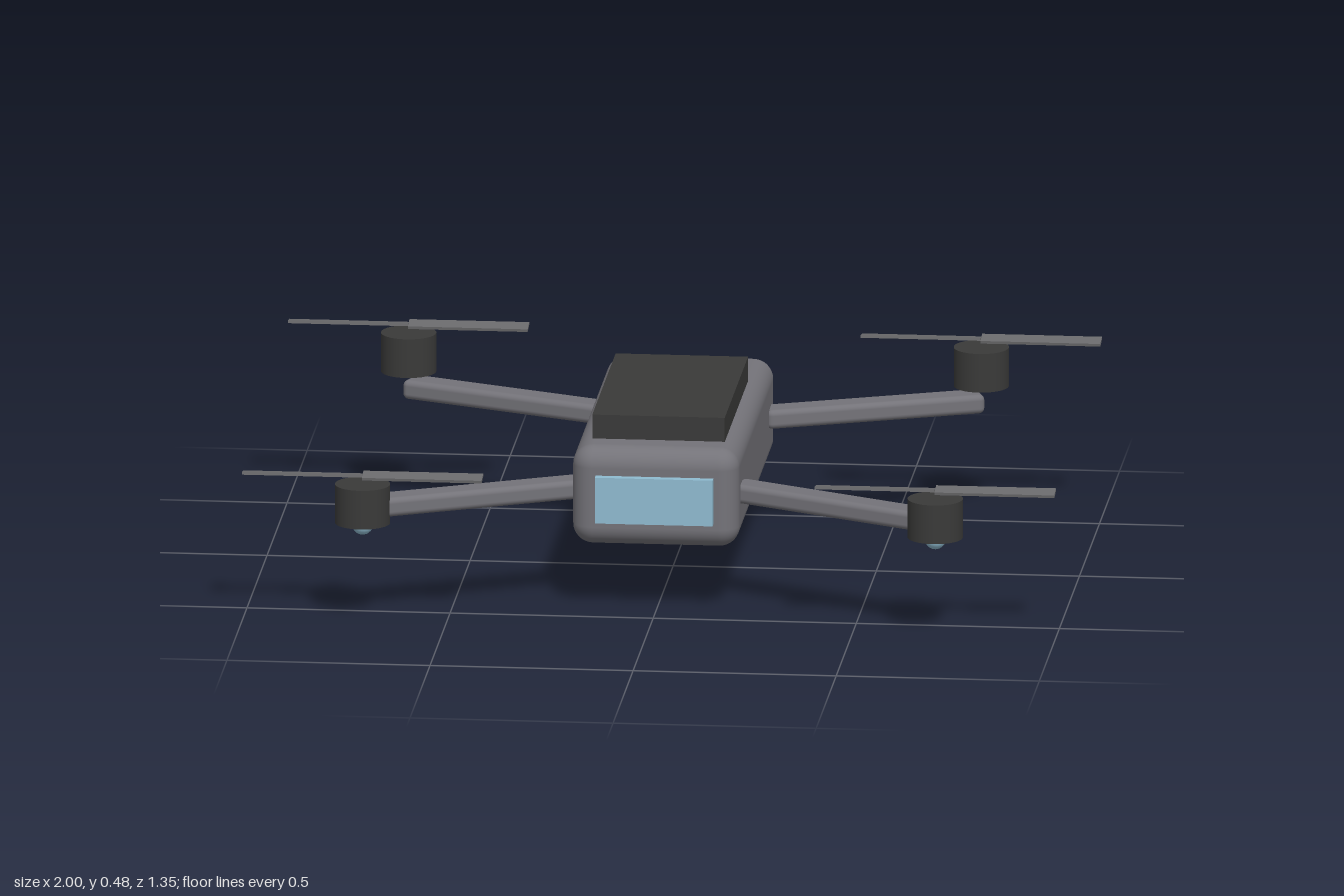
import * as THREE from 'three';
import { RoundedBoxGeometry } from 'three/addons/geometries/RoundedBoxGeometry.js';

export function createModel() {
  const model = new THREE.Group();
  model.name = 'quadcopter';

  const material = (name, color) => {
    const m = new THREE.MeshStandardMaterial({ color });
    m.name = name;
    return m;
  };
  const shellGrey = material('shell grey', 0x747379);
  const charcoal = material('charcoal', 0x3a3a39);
  const bladeGrey = material('blade grey', 0x6a6a6c);
  const lensBlue = material('lens navy', 0x1a2740);
  const glassBlue = material('pale blue', 0x8fbbd0);

  const add = (name, geometry, mat, x, y, z, parent = model) => {
    const mesh = new THREE.Mesh(geometry, mat);
    mesh.name = name;
    mesh.position.set(x, y, z);
    parent.add(mesh);
    return mesh;
  };

  // Fuselage, battery and front panel
  add('body', new RoundedBoxGeometry(0.41, 0.249, 0.933, 5, 0.05), shellGrey, 0, 0.292, 0);
  add('battery', new THREE.BoxGeometry(0.326, 0.08, 0.583), charcoal, 0, 0.437, 0.076);
  add('frontPanel', new THREE.BoxGeometry(0.29, 0.116, 0.04), glassBlue, 0, 0.291, 0.467);

  // Rear sensors
  for (const side of [-1, 1]) {
    add('rearSensor', new THREE.SphereGeometry(0.039, 24, 16), lensBlue, side * 0.098, 0.312, -0.467);
  }

  // Camera gimbal
  add('gimbalMount', new THREE.BoxGeometry(0.116, 0.097, 0.1), charcoal, 0, 0.152, -0.493);
  add('cameraHousing', new THREE.BoxGeometry(0.196, 0.148, 0.137), shellGrey, 0, 0.074, -0.569);
  const lens = add('cameraLens', new THREE.CylinderGeometry(0.048, 0.048, 0.06, 32), lensBlue, 0, 0.075, -0.644);
  lens.rotation.x = Math.PI / 2;

  // Arms, motors and propellers, front pair low and rear pair raised
  const corners = [
    { label: 'front', rootZ: 0.355, z: 0.604, motorY: 0.301, bladeY: 0.371 },
    { label: 'rear', rootZ: -0.338, z: -0.543, motorY: 0.38, bladeY: 0.45 },
  ];
  const motorX = 0.705, armRootX = 0.19;
  for (const c of corners) {
    for (const side of [-1, 1]) {
      const rotor = new THREE.Group();
      rotor.name = c.label + (side > 0 ? 'Left' : 'Right') + 'Rotor';
      model.add(rotor);

      const dx = motorX - armRootX, dz = c.z - c.rootZ;
      const arm = add('arm', new RoundedBoxGeometry(0.076, 0.048, Math.hypot(dx, dz), 3, 0.014), shellGrey,
        side * (motorX + armRootX) / 2, 0.292, (c.z + c.rootZ) / 2, rotor);
      arm.rotation.y = Math.atan2(side * dx, dz);

      add('motor', new THREE.CylinderGeometry(0.068, 0.068, 0.098, 32), charcoal, side * motorX, c.motorY, c.z, rotor);

      // Two blades with opposite pitch
      for (const end of [-1, 1]) {
        const blade = add('propellerBlade', new THREE.BoxGeometry(0.295, 0.007, 0.043), bladeGrey,
          side * motorX + end * 0.1475, c.bladeY, c.z, rotor);
        blade.rotation.x = end * 0.17;
      }

      // Status light under each front motor
      if (c.label === 'front') {
        add('statusLight', new THREE.SphereGeometry(0.026, 20, 14), glassBlue, side * motorX, 0.248, c.z, rotor);
      }
    }
  }
  return model;
}
